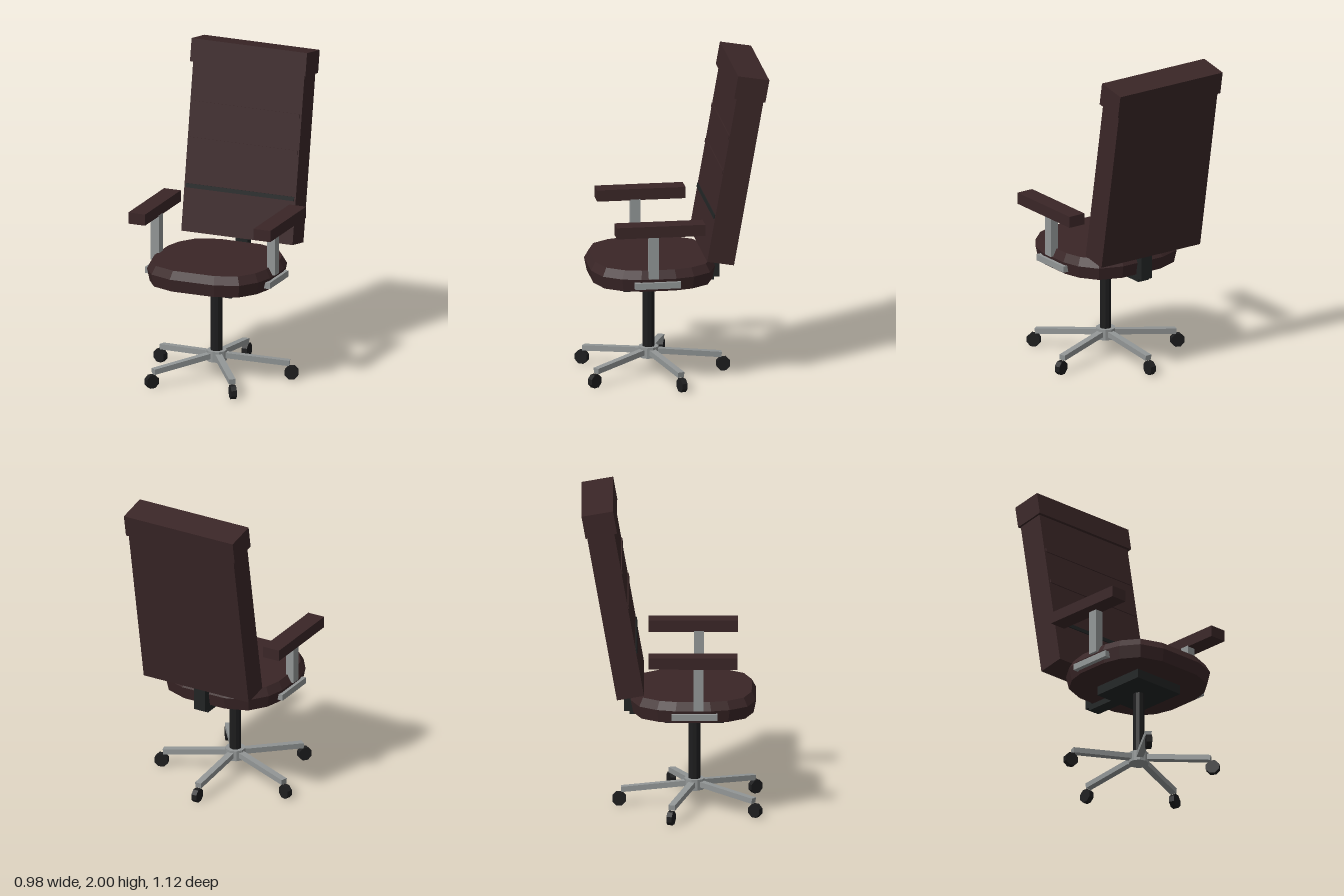
import * as THREE from 'three';

const mat = (name, color) => {
  const m = new THREE.MeshStandardMaterial({ color });
  m.name = name;
  m.flatShading = true;
  return m;
};

export function createModel() {
  const leather = mat('dark brown leather', 0x3a2627);
  const metal = mat('grey metal', 0x929696);
  const frame = mat('charcoal frame', 0x212424);
  const black = mat('black plastic', 0x1d1d1e);

  const chair = new THREE.Group();
  chair.name = 'officeChair';

  const add = (parent, name, geometry, material, x, y, z) => {
    const mesh = new THREE.Mesh(geometry, material);
    mesh.name = name;
    mesh.position.set(x, y, z);
    parent.add(mesh);
    return mesh;
  };
  const box = (parent, name, material, w, h, d, x, y, z) =>
    add(parent, name, new THREE.BoxGeometry(w, h, d), material, x, y, z);

  const axisZ = 0.146; // the column and star base stand here

  // Star base: five sloping spokes, one pointing straight back
  const base = new THREE.Group();
  base.name = 'starBase';
  base.position.z = axisZ;
  chair.add(base);
  add(base, 'hub', new THREE.CylinderGeometry(0.063, 0.063, 0.068, 10), metal, 0, 0.142, 0);
  for (let i = 0; i < 5; i++) {
    const leg = new THREE.Group();
    leg.name = 'baseLeg';
    leg.rotation.y = Math.PI + (i * Math.PI * 2) / 5;
    base.add(leg);
    const spoke = box(leg, 'spoke', metal, 0.042, 0.034, 0.43, 0, 0.126, 0.24);
    spoke.rotation.x = 0.1;
    const caster = new THREE.CylinderGeometry(0.045, 0.045, 0.035, 8);
    caster.rotateY(Math.PI / 8).rotateZ(Math.PI / 2);
    add(leg, 'caster', caster, black, 0, 0.043, 0.466);
  }

  // Gas column, tilt mechanism and the bracket carrying the backrest
  add(chair, 'column', new THREE.CylinderGeometry(0.037, 0.037, 0.43, 10), black, 0, 0.385, axisZ);
  box(chair, 'mechanism', frame, 0.36, 0.058, 0.365, 0, 0.609, axisZ);
  box(chair, 'backBar', frame, 0.08, 0.036, 0.24, 0, 0.613, -0.137);
  box(chair, 'backUpright', frame, 0.08, 0.21, 0.056, 0, 0.72, -0.263);

  // Seat cushion: three rings of a sixteen-sided rounded square
  const quarter = [[0.405, 0.11], [0.375, 0.225], [0.297, 0.335], [0.15, 0.388]];
  const mirrored = quarter.map(([x, z]) => [-x, z]).reverse();
  const half = [...quarter, ...mirrored];
  const outline = [...half, ...half.map(([x, z]) => [-x, -z])];
  const rings = [[0.638, 0.96], [0.718, 1], [0.77, 0.93]];
  const n = outline.length;
  const pos = [];
  const index = [];
  for (const [y, s] of rings) for (const [x, z] of outline) pos.push(x * s, y, z * s);
  pos.push(0, rings[0][0], 0, 0, rings[2][0], 0);
  for (let i = 0; i < n; i++) {
    const j = (i + 1) % n;
    for (let r = 0; r < 2; r++) {
      const a = r * n + i, b = r * n + j;
      index.push(a, a + n, b, b, a + n, b + n);
    }
    index.push(3 * n, i, j, 3 * n + 1, 2 * n + j, 2 * n + i);
  }
  const seat = new THREE.BufferGeometry();
  seat.setAttribute('position', new THREE.Float32BufferAttribute(pos, 3));
  seat.setIndex(index);
  const seatFlat = seat.toNonIndexed();
  seatFlat.computeVertexNormals();
  add(chair, 'seat', seatFlat, leather, 0, 0, 0.14);

  // Reclined backrest with headrest and seams across the front
  const back = new THREE.Group();
  back.name = 'back';
  back.position.set(0, 0.795, -0.249);
  back.rotation.x = -THREE.MathUtils.degToRad(10);
  chair.add(back);
  box(back, 'backrest', leather, 0.752, 1.1, 0.17, 0, 0.55, 0);
  box(back, 'headrest', leather, 0.78, 0.145, 0.198, 0, 1.134, 0.004);
  box(back, 'upperSeam', leather, 0.73, 0.026, 0.012, 0, 0.805, 0.085);
  box(back, 'middleSeam', leather, 0.73, 0.026, 0.012, 0, 0.577, 0.085);
  box(back, 'lowerSeam', frame, 0.73, 0.026, 0.012, 0, 0.287, 0.085);

  // Armrests: pad, post and side bracket
  for (const side of [1, -1]) {
    const arm = new THREE.Group();
    arm.name = side > 0 ? 'leftArm' : 'rightArm';
    chair.add(arm);
    box(arm, 'armPad', leather, 0.113, 0.072, 0.552, side * 0.423, 1.044, 0.138);
    box(arm, 'armPost', metal, 0.056, 0.29, 0.062, side * 0.392, 0.868, 0.173);
    box(arm, 'armBracket', metal, 0.056, 0.04, 0.286, side * 0.394, 0.68, 0.147);
  }

  return chair;
}
